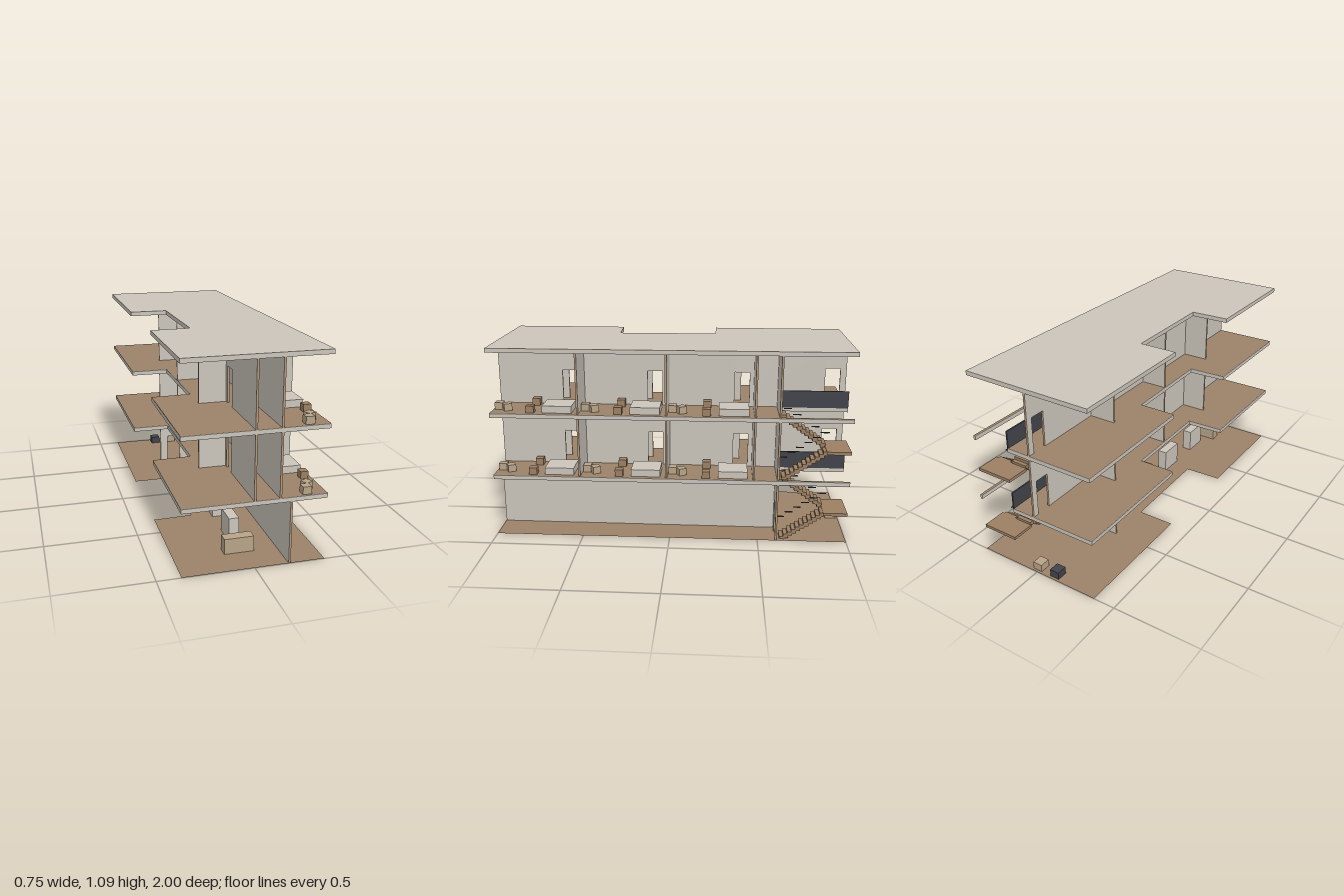
import * as THREE from 'three';

const mat = (name, color, side = THREE.FrontSide) => {
  const m = new THREE.MeshStandardMaterial({ color, side });
  m.name = name;
  return m;
};

export function createModel() {
  const plaster = mat('plaster', 0xcbc5bb);
  const edge = mat('wallEdge', 0xb2987a);
  const floorBrown = mat('floorBrown', 0x9c8268, THREE.DoubleSide);
  const wood = mat('wood', 0x9c8064);
  const tan = mat('tan', 0xb8a488);
  const dark = mat('darkMetal', 0x42434b);
  const model = new THREE.Group();

  // Box given by its min and max on each axis
  const box = (name, x0, x1, y0, y1, z0, z1, material, parent = model) => {
    const m = new THREE.Mesh(new THREE.BoxGeometry(x1 - x0, y1 - y0, z1 - z0), material);
    m.position.set((x0 + x1) / 2, (y0 + y1) / 2, (z0 + z1) / 2);
    m.name = name;
    parent.add(m);
    return m;
  };

  const T = 0.011, DOOR = 0.2;
  const alongZ = [plaster, plaster, edge, edge, edge, edge];
  const alongX = [edge, edge, edge, edge, plaster, plaster];

  // Wall with door openings: axis is its running direction, c its centre on the other axis
  const wall = (name, axis, c, from, to, y0, y1, doors = []) => {
    const g = new THREE.Group();
    g.name = name;
    const piece = (a, b, lo, hi) => axis === 'z'
      ? box('wallPanel', c - T / 2, c + T / 2, lo, hi, a, b, alongZ, g)
      : box('wallPanel', a, b, lo, hi, c - T / 2, c + T / 2, alongX, g);
    let start = from;
    for (const [a, b] of doors) {
      piece(start, a, y0, y1);
      piece(a, b, y0 + DOOR, y1);
      start = b;
    }
    piece(start, to, y0, y1);
    model.add(g);
  };

  // Plan outline with the side recess, and optionally the open stairwell
  const plan = (stairwell) => {
    const pts = [[-0.375, 1], [0.373, 1], [0.365, -1]];
    if (stairwell) pts.push([0.352, -1], [0.352, -0.61], [0.132, -0.61], [0.132, -1]);
    pts.push([-0.377, -1], [-0.377, -0.24], [-0.165, -0.24], [-0.158, 0.33], [-0.375, 0.337]);
    return new THREE.Shape(pts.map(([x, z]) => new THREE.Vector2(x, -z)));
  };
  const slab = (name, y0, y1, stairwell) => {
    const geo = new THREE.ExtrudeGeometry(plan(stairwell), { depth: y1 - y0, bevelEnabled: false });
    const m = new THREE.Mesh(geo.rotateX(-Math.PI / 2), plaster);
    m.position.y = y0;
    m.name = name;
    model.add(m);
  };
  const flooring = (name, y, stairwell) => {
    const m = new THREE.Mesh(new THREE.ShapeGeometry(plan(stairwell)).rotateX(-Math.PI / 2), floorBrown);
    m.position.y = y;
    m.name = name;
    model.add(m);
  };

  flooring('groundFloor', 0.001, false);
  slab('firstSlab', 0.337, 0.36, true);
  flooring('firstFloor', 0.362, true);
  slab('secondSlab', 0.7, 0.723, true);
  flooring('secondFloor', 0.725, true);
  slab('roof', 1.066, 1.09, false);

  // Ground storey: long wall, two cross walls with doors, reception furniture
  wall('groundLongWall', 'z', 0.184, -0.61, 1, 0, 0.337);
  wall('lobbyWall', 'x', -0.49, -0.16, 0.125, 0, 0.337, [[-0.115, -0.03]]);
  wall('stairWall', 'x', -0.605, 0.135, 0.36, 0, 0.337, [[0.25, 0.338]]);
  box('receptionDesk', -0.108, 0.052, 0, 0.085, 0.77, 0.83, tan);
  for (const z of [0.63, 0.31, 0]) box('cabinet', -0.045, 0.01, 0, 0.135, z - 0.074, z + 0.074, plaster);
  box('tanCrate', -0.02, 0.035, 0, 0.042, -0.985, -0.925, tan);
  box('darkCrate', -0.135, -0.08, 0, 0.043, -0.985, -0.925, dark);

  // Two identical upper storeys
  for (const [y0, y1] of [[0.36, 0.7], [0.723, 1.066]]) {
    wall('corridorWall', 'z', -0.006, -1, 1, y0, y1,
      [[-0.965, -0.88], [-0.475, -0.395], [0.04, 0.125], [0.54, 0.62]]);
    wall('bedroomWall', 'z', 0.126, -0.61, 1, y0, y1,
      [[-0.44, -0.355], [0.055, 0.14], [0.545, 0.63]]);
    for (const z of [0.51, 0.02, -0.47, -0.605]) wall('roomDivider', 'x', z, 0.1315, 0.36, y0, y1);
    for (const z of [0.51, 0.02, -0.49]) wall('balconyDivider', 'x', z, -0.16, -0.0115, y0, y1);
    box('stairGuard', 0.126, 0.134, y0, y0 + 0.098, -1, -0.61, dark);

    // Furniture repeated in each bedroom
    for (const s of [0, -0.49, -0.98]) {
      const top = y0 + 0.042;
      box('bed', 0.195, 0.345, y0, top, 0.545 + s, 0.71 + s, plaster);
      box('nightstand', 0.31, 0.352, y0, top, 0.755 + s, 0.8 + s, wood);
      box('nightstand', 0.145, 0.19, y0, top, 0.755 + s, 0.8 + s, wood);
      box('chair', 0.245, 0.292, y0, top, 0.945 + s, 0.99 + s, tan);
      const turned = box('turnedChair', 0.27, 0.315, y0, top, 0.895 + s, 0.94 + s, tan);
      turned.rotation.y = 0.5;
    }
  }

  // Dog-leg stairs: outer flight up to a landing, inner flight back
  const N = 11, run = 0.245 / N, rise = 0.182 / N;
  for (const base of [0, 0.363]) {
    const stair = new THREE.Group();
    stair.name = 'staircase';
    stair.position.y = base;
    for (let i = 0; i < N; i++) {
      const zOut = -0.625 - i * run, zBack = -0.87 + i * run;
      const y = (i + 1) * rise * 0.92, yUp = 0.168 + (i + 1) * rise * 0.97;
      box('step', 0.258, 0.342, Math.max(0, y - 0.024), y, zOut - run * 1.3, zOut, wood, stair);
      box('step', 0.145, 0.24, yUp - 0.024, yUp, zBack, zBack + run * 1.3, wood, stair);
    }
    box('landing', 0.14, 0.352, 0.153, 0.17, -1, -0.865, wood, stair);
    // Short handrail bars stepping along both flights
    for (let i = 0; i < 6; i++) {
      const z = -0.635 - i * 0.046;
      box('railBar', 0.254, 0.26, 0.1 + i * 0.03, 0.105 + i * 0.03, z - 0.022, z + 0.022, dark, stair);
    }
    for (let i = 0; i < 5; i++) {
      const z = -0.86 + i * 0.052;
      box('railBar', 0.24, 0.246, 0.245 + i * 0.034, 0.25 + i * 0.034, z - 0.022, z + 0.022, dark, stair);
    }
    model.add(stair);
  }

  return model;
}
